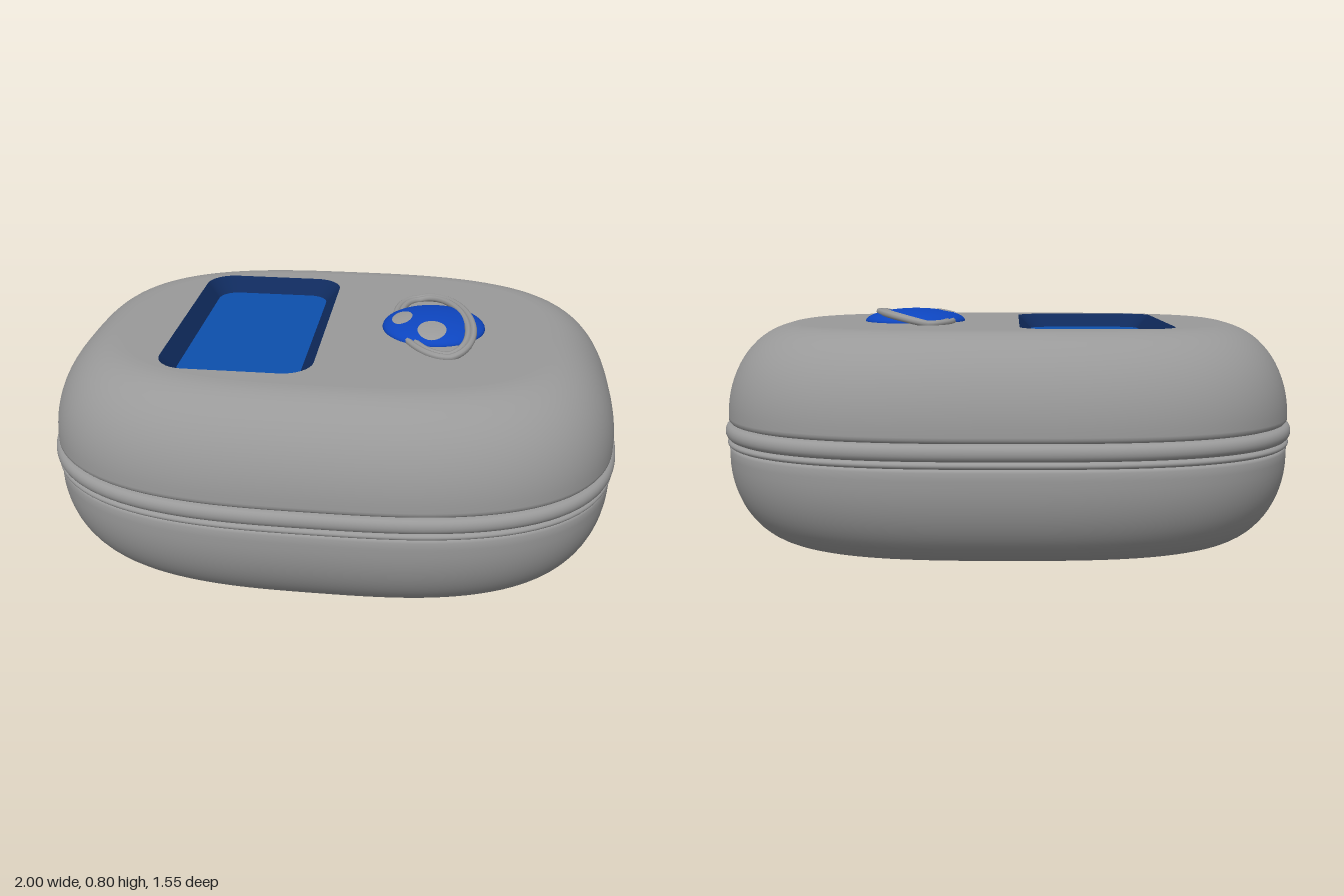
import * as THREE from 'three';

const material = (name, color, extra = {}) => {
  const m = new THREE.MeshStandardMaterial({ color, ...extra });
  m.name = name;
  return m;
};

// Soft-cornered plan outline, counterclockwise seen from above
const outline = (inset, y, n = 2.9, count = 144) => {
  const a = 1 - inset, b = 0.775 - inset;
  return Array.from({ length: count }, (_, i) => {
    const t = (i / count) * Math.PI * 2, c = Math.cos(t), s = Math.sin(t);
    const r = (Math.abs(c / a) ** n + Math.abs(s / b) ** n) ** (-1 / n);
    return new THREE.Vector3(r * c, y, -r * s);
  });
};

// Rounded rectangle, same direction of travel
const roundedRect = (cx, cz, hx, hz, r, y) => {
  const pts = [];
  [[1, 1], [-1, 1], [-1, -1], [1, -1]].forEach(([sx, sz], q) => {
    for (let i = 0; i <= 8; i++) {
      const t = (q + i / 8) * Math.PI / 2;
      pts.push(new THREE.Vector3(
        cx + sx * (hx - r) + r * Math.cos(t), y, cz - sz * (hz - r) - r * Math.sin(t)));
    }
  });
  return pts;
};

// Skin joining closed loops of points
const loft = (rings) => {
  const n = rings[0].length, index = [];
  for (let k = 0; k < rings.length - 1; k++) {
    for (let i = 0; i < n; i++) {
      const j = (i + 1) % n, a = k * n + i, b = k * n + j;
      index.push(a, b, b + n, a, b + n, a + n);
    }
  }
  const g = new THREE.BufferGeometry().setFromPoints(rings.flat());
  g.setIndex(index);
  g.computeVertexNormals();
  return g;
};

// Flat upward face inside a loop, with an optional hole
const cap = (ring, hole) => {
  const flat = (pts) => pts.map((p) => new THREE.Vector2(p.x, -p.z));
  const shape = new THREE.Shape(flat(ring));
  if (hole) shape.holes.push(new THREE.Path(flat(hole)));
  return new THREE.ShapeGeometry(shape).rotateX(-Math.PI / 2).translate(0, ring[0].y, 0);
};

export function createModel() {
  const model = new THREE.Group();
  const grey = material('shell grey', 0x999999);
  const navy = material('recess navy', 0x0f2a5c);
  const blue = material('panel blue', 0x0d4fac);
  const royal = material('planet blue', 0x0d45bf);
  const add = (name, geometry, mat) => {
    const mesh = new THREE.Mesh(geometry, mat);
    mesh.name = name;
    model.add(mesh);
    return mesh;
  };

  // Upper and lower shells: rounded shoulders closing on flat faces
  const TOP = 0.755, DROP = 0.31, ROUND = 0.235, SIDE = 0.012;
  const shoulder = Array.from({ length: 19 }, (_, i) => {
    const t = (i / 18) * Math.PI / 2;
    return [SIDE + ROUND * (1 - Math.cos(t)), DROP * Math.sin(t)];
  });
  const upper = [[0.035, 0.422], [0.018, 0.428], [SIDE, 0.436],
    ...shoulder.map(([d, h]) => [d, TOP - DROP + h])].map(([d, y]) => outline(d, y));
  const lower = [...shoulder.map(([d, h]) => [d, DROP - h]).reverse(),
    [SIDE, 0.335], [0.018, 0.342], [0.035, 0.347]].map(([d, y]) => outline(d, y));
  add('upperShell', loft(upper), grey);
  add('lowerShell', loft(lower), grey);
  add('bottomFace', cap(outline(SIDE + ROUND, 0)).rotateX(Math.PI), grey);

  // Zip band: a thin lower bead and a wide upper bead
  const bead = (y0, y1, out) => loft(Array.from({ length: 11 }, (_, i) => {
    const t = (i / 10) * Math.PI;
    return outline(0.036 - (0.036 - out) * Math.sin(t) ** 0.6, (y0 + y1) / 2 - Math.cos(t) * (y1 - y0) / 2);
  }));
  add('lowerBead', bead(0.345, 0.371, 0.006), grey);
  add('upperBead', bead(0.368, 0.425, 0), grey);

  // Top face with the recessed panel
  const rim = roundedRect(-0.302, -0.005, 0.262, 0.455, 0.1, TOP);
  const foot = roundedRect(-0.302, -0.005, 0.212, 0.398, 0.07, TOP - 0.05);
  add('topFace', cap(upper.at(-1), rim), grey);
  add('recessWall', loft([rim, foot]), navy);
  add('panel', cap(foot), blue);

  // Planet emblem: shallow dome
  const cx = 0.34, cz = -0.01, R = 0.182, H = 0.046;
  const domeY = (x, z) =>
    TOP + H * Math.sqrt(Math.max(0, 1 - ((x - cx) ** 2 + (z - cz) ** 2) / R ** 2));
  const dome = new THREE.SphereGeometry(1, 48, 16, 0, Math.PI * 2, 0, Math.PI / 2);
  add('planet', dome.scale(R, H, R).translate(cx, TOP, cz), royal);

  // Craters lie on the dome
  const crater = (name, x, z, rx, rz) => {
    const g = new THREE.RingGeometry(0.001, 1, 28, 6).rotateX(-Math.PI / 2).scale(rx, 1, rz).translate(x, 0, z);
    const p = g.attributes.position;
    for (let i = 0; i < p.count; i++) p.setY(i, domeY(p.getX(i), p.getZ(i)) + 0.003);
    g.computeVertexNormals();
    add(name, g, grey);
  };
  crater('leftCrater', 0.228, 0.005, 0.036, 0.055);
  crater('frontCrater', 0.338, 0.105, 0.05, 0.055);

  // Tilted ring of two thin strands, high on the model's left side
  const strand = (major, minor) => {
    const pts = Array.from({ length: 40 }, (_, i) => {
      const t = (i / 40) * Math.PI * 2, tilt = 0.24;
      const u = minor * Math.cos(t), v = major * Math.sin(t);
      return new THREE.Vector3(
        cx + u * Math.cos(tilt) + v * Math.sin(tilt),
        TOP + 0.004 + 0.029 * Math.max(0, Math.cos(t)),
        cz - u * Math.sin(tilt) + v * Math.cos(tilt));
    });
    return new THREE.TubeGeometry(new THREE.CatmullRomCurve3(pts, true), 96, 0.012, 8, true);
  };
  add('outerRing', strand(0.282, 0.128), grey);
  add('innerRing', strand(0.262, 0.109), grey);

  return model;
}
